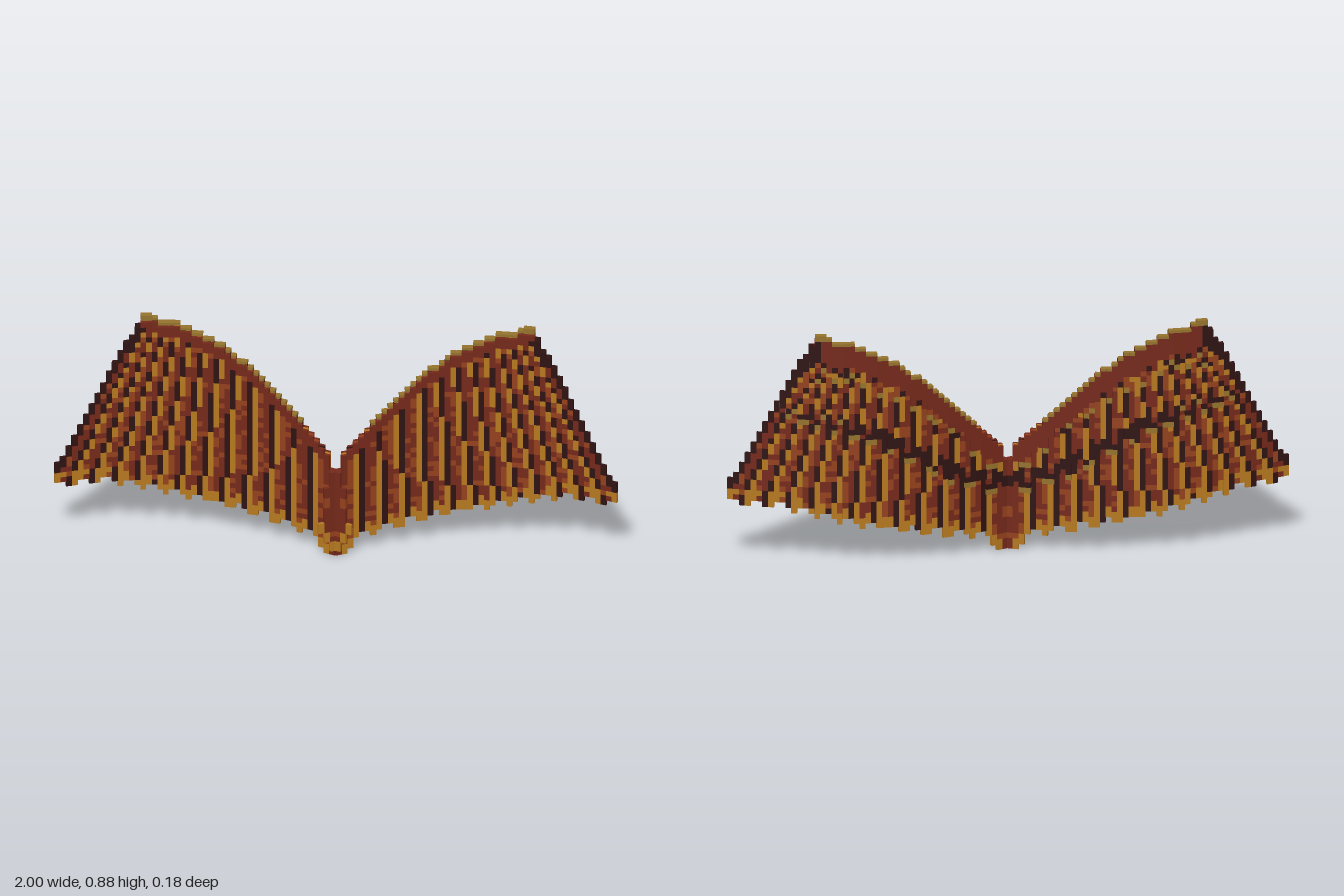
import * as THREE from 'three';
import { mergeGeometries } from 'three/addons/utils/BufferGeometryUtils.js';

const V = 0.02;        // voxel width and height
const D = 0.0125;      // thickness of one feather layer
const PERIOD = 0.08;   // feather spacing along the lower edge

const COLORS = { dark: 0x2e1212, red: 0x74281a, rust: 0x93401c, gold: 0xb5781f, olive: 0x94722c };

// Outline of one wing as [x, y] points
const TOP = [[-0.05, 0.14], [-0.03, 0.27], [-0.01, 0.34], [0.01, 0.34], [0.03, 0.4], [0.1, 0.46], [0.2, 0.58],
  [0.3, 0.67], [0.4, 0.745], [0.5, 0.805], [0.6, 0.845], [0.7, 0.86], [0.72, 0.83], [0.8, 0.67], [0.9, 0.48], [0.99, 0.31]];
const BOTTOM = [[-0.05, 0.1], [-0.03, 0.06], [-0.01, 0.01], [0.03, 0], [0.07, 0.055], [0.2, 0.08], [0.4, 0.12],
  [0.6, 0.165], [0.8, 0.215], [0.99, 0.22]];

function sample(points, x) {
  if (x <= points[0][0]) return points[0][1];
  for (let i = 1; i < points.length; i++) {
    const [x0, y0] = points[i - 1], [x1, y1] = points[i];
    if (x <= x1) return y0 + (y1 - y0) * (x - x0) / (x1 - x0);
  }
  return points[points.length - 1][1];
}

const snap = (y) => Math.round(y / V);
const bowZ = (x) => -0.06 + 0.42 * (x - 0.53) ** 2;
const fract = (n) => n - Math.floor(n);
const hash = (a, b) => fract(Math.sin(a * 12.99 + b * 78.23) * 43758.55);

// Follows a slanted feather down to its root position on the lower edge
function featherAt(x, y) {
  let u = x;
  for (let i = 0; i < 8; i++) u = x + 0.48 * u * u * Math.max(0, y - 0.22);
  return fract(u / PERIOD + 0.1);
}

// Dark, red, rust and gold bands across each feather, slightly speckled
function featherColor(x, y, i, j) {
  const t = featherAt(x, y), speckle = hash(i, j);
  if (x < 0.05) return speckle < 0.75 ? 'red' : 'rust';
  if (t < 0.25) return 'dark';
  if (t < 0.5) return speckle < 0.8 ? 'red' : 'rust';
  if (t < 0.75) return speckle < 0.65 ? 'rust' : 'red';
  return 'gold';
}

// Each layer returns the voxel rows [low, high) of a column and a color per voxel
const LAYERS = [
  {
    name: 'flightFeathers', from: -0.06, to: 1, depth: 0,
    rows(x) {
      const b = sample(BOTTOM, x), t = featherAt(x, b);
      const notch = x > 0.06 && t < 0.5 ? 0.02 : 0;
      return [snap(b + notch), snap(sample(TOP, x))];
    },
    color(x, y, i, j, low, high) {
      if (j < low + 2 && featherAt(x, y) > 0.4) return 'gold';
      if (x > 0.7 && j >= high - 2) return 'dark';
      if (x < 0.68 && j >= high - 2) return 'red';
      return featherColor(x, y, i, j);
    },
  },
  {
    name: 'longCoverts', from: 0, to: 0.82, depth: 1,
    rows(x) {
      const top = sample(TOP, x), edge = sample([[0, 0.2], [0.2, 0.28], [0.5, 0.46], [0.82, 0.56]], x);
      return [snap(edge + (featherAt(x, edge) < 0.5 ? 0.04 : 0)), snap(top)];
    },
    color(x, y, i, j, low, high) {
      if (x > 0.7 && j >= high - 3) return 'dark';
      if (j === low) return featherAt(x, y) > 0.5 ? 'olive' : 'dark';
      return j < low + 2 ? 'dark' : featherColor(x + 0.03, y, i, j);
    },
  },
  {
    name: 'shortCoverts', from: 0.02, to: 0.72, depth: 2,
    rows(x) {
      const top = sample(TOP, x), edge = top - 0.1 - 0.08 * x;
      return [snap(edge + (featherAt(x, edge) < 0.5 ? 0.04 : 0)), snap(top)];
    },
    color(x, y, i, j, low, high) {
      if (j >= high - 4) return x > 0.68 ? 'dark' : 'red';
      if (j === low && featherAt(x, y) > 0.6) return 'olive';
      return featherColor(x + 0.05, y, i, j);
    },
  },
  {
    // Gold trim lying on the leading edge
    name: 'leadingEdge', from: 0.12, to: 0.7, depth: 1.6,
    rows(x) {
      const high = snap(sample(TOP, x));
      return [high, high + 0.5 + (x > 0.66 ? 0.5 : 0)];
    },
    color: () => 'olive',
  },
];

// A run of equal voxels, turned to lie along the bow of the wing
function block(side, x, low, high, depth, thickness) {
  const slope = 0.84 * (x - 0.53), angle = Math.atan(slope);
  const g = new THREE.BoxGeometry(V / Math.cos(angle), (high - low) * V, thickness);
  g.rotateY(-angle * side);
  g.translate(x * side, (low + high) / 2 * V, bowZ(x) - depth * D);
  return g;
}

function buildLayer(layer, side, materials) {
  const group = new THREE.Group();
  group.name = layer.name;
  const parts = {};
  const first = Math.round(layer.from / V), last = Math.round(layer.to / V);
  for (let i = first; i < last; i++) {
    const x = (i + 0.5) * V;
    const [low, high] = layer.rows(x);
    const thickness = layer.name === 'leadingEdge' ? D * 1.9 : D;
    let start = low, current = null;
    for (let j = low; j < high; j++) {
      const c = layer.color(x, (j + 0.5) * V, i, j, low, high);
      if (current && c !== current) {
        (parts[current] ??= []).push(block(side, x, start, j, layer.depth, thickness));
        start = j;
      }
      current = c;
    }
    if (current) (parts[current] ??= []).push(block(side, x, start, high, layer.depth, thickness));
  }
  for (const [color, list] of Object.entries(parts)) {
    const mesh = new THREE.Mesh(mergeGeometries(list), materials[color]);
    mesh.name = `${layer.name} ${color}`;
    group.add(mesh);
  }
  return group;
}

export function createModel() {
  const model = new THREE.Group();
  model.name = 'wings';
  const materials = {};
  for (const [name, color] of Object.entries(COLORS)) {
    materials[name] = new THREE.MeshStandardMaterial({ color });
  }
  for (const [name, side] of [['leftWing', 1], ['rightWing', -1]]) {
    const wing = new THREE.Group();
    wing.name = name;
    for (const layer of LAYERS) wing.add(buildLayer(layer, side, materials));
    model.add(wing);
  }
  return model;
}
